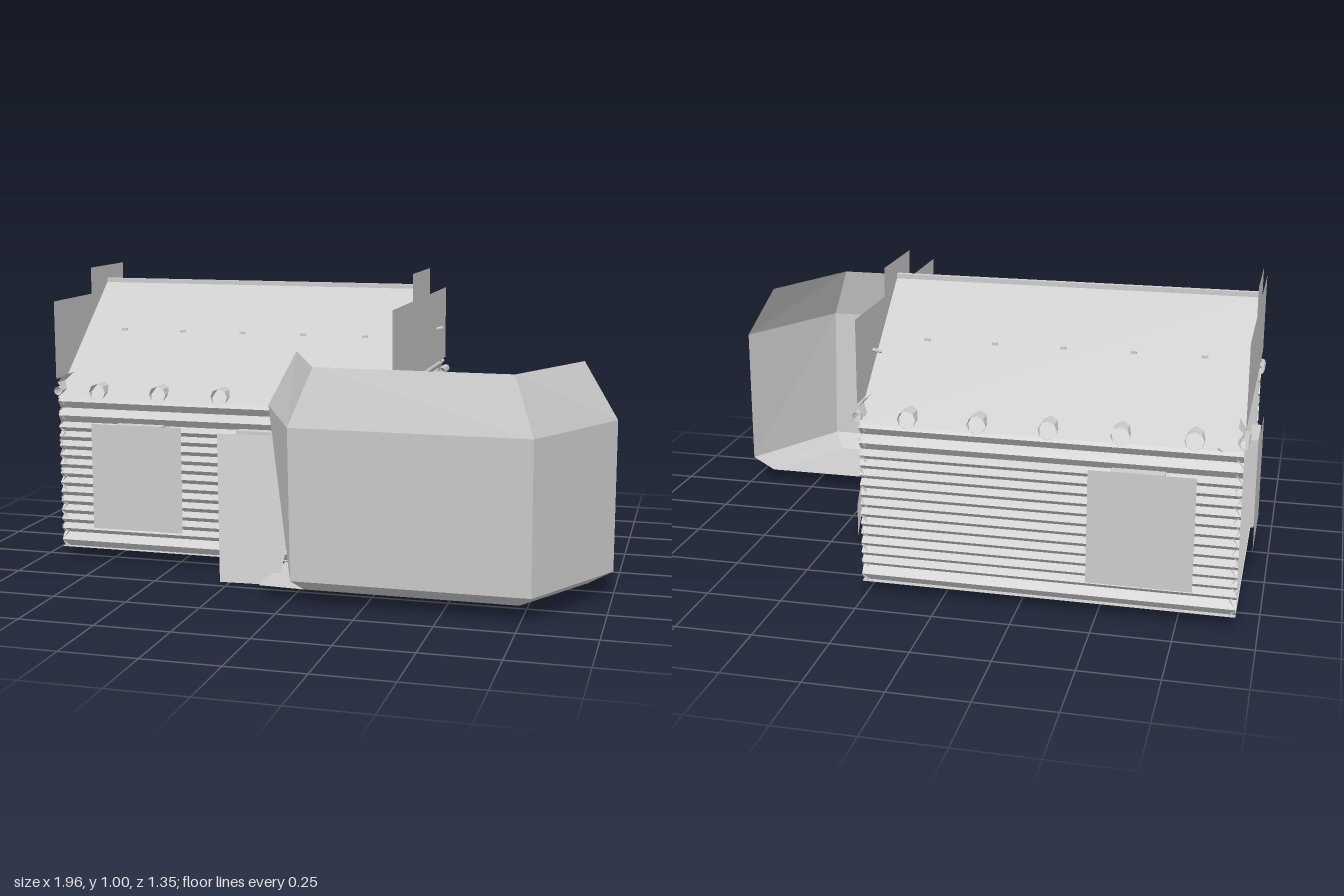
import * as THREE from 'three';

const mat = new THREE.MeshStandardMaterial({ color: 0xcccccc, flatShading: true, side: THREE.DoubleSide });

export function createModel() {
  const model = new THREE.Group();
  const add = (name, geo) => {
    const m = new THREE.Mesh(geo, mat);
    m.name = name;
    model.add(m);
    return m;
  };

  // Flat-faced surface stretched between rows of points
  const sheet = (name, rows) => {
    const pos = [];
    for (let i = 0; i < rows.length - 1; i++) {
      for (let j = 0; j < rows[i].length - 1; j++) {
        const [a, b, c, d] = [rows[i][j], rows[i][j + 1], rows[i + 1][j + 1], rows[i + 1][j]];
        pos.push(...a, ...b, ...c, ...a, ...c, ...d);
      }
    }
    const geo = new THREE.BufferGeometry();
    geo.setAttribute('position', new THREE.Float32BufferAttribute(pos, 3));
    geo.computeVertexNormals();
    return add(name, geo);
  };
  const box = (name, x0, x1, y0, y1, z0, z1) => {
    const m = add(name, new THREE.BoxGeometry(x1 - x0, y1 - y0, z1 - z0));
    m.position.set((x0 + x1) / 2, (y0 + y1) / 2, (z0 + z1) / 2);
    return m;
  };
  const stick = (name, a, b, r) => {
    const p = new THREE.Vector3(...a), q = new THREE.Vector3(...b);
    const m = add(name, new THREE.CylinderGeometry(r, r, p.distanceTo(q), 6));
    m.position.copy(p).add(q).multiplyScalar(0.5);
    m.quaternion.setFromUnitVectors(new THREE.Vector3(0, 1, 0), q.sub(p).normalize());
  };

  const X0 = -0.93, X1 = 0.265, Z0 = -0.625, Z1 = 0.295, ZM = -0.165;
  const FLOOR = 0.04, EAVE = 0.575, RIDGE = 0.95;

  // Log walls with a zigzag section; at(y, depth) gives the two ends of each edge
  const logWall = (name, courses, ends) => {
    const rows = [];
    let y = FLOOR;
    for (const [count, pitch] of courses) {
      for (let i = 0; i < count; i++, y += pitch) {
        rows.push(ends(y, 0.02), ends(y + pitch / 2, 0));
      }
    }
    rows.push(ends(y, 0.02));
    sheet(name, rows);
  };
  const longCourses = [[1, 0.05], [12, 0.033], [2, 0.05]];
  const sideCourses = [[12, 0.051]];
  logWall('frontLogWall', longCourses, (y, d) => [[X0, y, Z1 - d], [X1, y, Z1 - d]]);
  logWall('backLogWall', longCourses, (y, d) => [[X1, y, Z0 + d], [X0, y, Z0 + d]]);
  logWall('leftLogWall', sideCourses, (y, d) => [[X1 - d, y, Z1], [X1 - d, y, Z0]]);
  logWall('rightLogWall', sideCourses, (y, d) => [[X0 + d, y, Z0], [X0 + d, y, Z1]]);
  sheet('cabinFloor', [[[X0, FLOOR, Z0], [X1, FLOOR, Z0]], [[X0, FLOOR, Z1], [X1, FLOOR, Z1]]]);

  // Roof and ridge strip
  sheet('roof', [[Z1, EAVE], [ZM, RIDGE], [Z0, EAVE]].map(([z, y]) => [[X0, y, z], [X1, y, z]]));
  box('ridgeStrip', X0, X1, 0.94, 0.957, ZM - 0.01, ZM + 0.01);

  // Stepped gable boards
  const step = new THREE.Shape();
  [[Z0, 0.64], [Z1 + 0.005, 0.64], [Z1 + 0.005, 0.91], [-0.015, 0.91], [-0.015, 1.005],
    [-0.31, 1.005], [-0.31, 0.91], [Z0, 0.91]].forEach(([z, y], i) =>
    i ? step.lineTo(-z, y) : step.moveTo(-z, y));
  for (const x of [X0 - 0.002, X1 + 0.002]) {
    const board = add('gableBoard', new THREE.ShapeGeometry(step));
    board.rotation.y = Math.PI / 2;
    board.position.x = x;
  }

  // Beam ends breaking through the roof, and the small pegs above them
  const beam = (x, r, s) => {
    const m = add('beamEnd', new THREE.CylinderGeometry(r, r, 0.1, 8, 1, true));
    m.rotation.x = Math.PI / 2;
    m.position.set(x, 0.597, ZM + s * 0.41);
  };
  for (const s of [-1, 1]) {
    for (let i = 0; i < 5; i++) {
      const x = -0.783 + i * 0.223;
      beam(x, 0.03, s);
      const z = ZM + s * 0.2;
      box('roofPeg', x - 0.01, x + 0.01, 0.77, 0.793, z - 0.003, z + 0.003);
    }
    beam(X0, 0.015, s);
    beam(X1 + 0.005, 0.015, s);
  }

  // Window boxes with their shutters
  const [wy0, wy1, sy0] = [0.19, 0.49, 0.12];
  for (const [x0, x1] of [[-0.71, -0.54], [-0.27, -0.1], [-0.045, 0.13]]) {
    box('frontWindowBox', x0, x1, wy0, wy1, 0.27, 0.315);
  }
  box('backWindowBox', -0.7, -0.535, wy0, wy1, -0.645, -0.6);
  box('rightWindowBox', -0.955, -0.91, wy0, wy1, -0.25, -0.085);
  box('leftWindowBox', 0.24, 0.288, wy0, wy1, -0.25, -0.085);
  for (const [name, z] of [['frontShutter', 0.318], ['backShutter', -0.648]]) {
    sheet(name, [[[-0.797, sy0, z], [-0.467, sy0, z]], [[-0.797, wy1, z], [-0.467, wy1, z]]]);
  }
  sheet('rightShutter', [[[-0.958, sy0, -0.29], [-0.958, sy0, 0.04]], [[-0.958, wy1, -0.29], [-0.958, wy1, 0.04]]]);

  // Fallen shutters leaning outside
  sheet('leaningSideShutter', [
    [[0.315, 0.49, -0.25], [0.415, 0.49, 0.052]],
    [[0.39, 0.04, -0.283], [0.49, 0.04, 0.025]]]);
  sheet('leaningFrontShutter', [
    [[-0.315, 0.49, 0.38], [0.01, 0.49, 0.365]],
    [[-0.285, 0.0, 0.455], [-0.085, 0.0, 0.445]]]);

  // Open faceted bay: each row runs back left, front left, front right, back right
  const bay = [
    [0.765, -0.06, 0.095, 0.72, 0.89, 0.65],
    [0.58, -0.16, 0.025, 0.785, 1.0, 0.695],
    [0.085, -0.1, 0.025, 0.785, 1.0, 0.67],
    [0.04, -0.09, 0.05, 0.74, 0.92, 0.6],
  ].map(([y, a, b, c, d, z]) => [[a, y, 0.297], [b, y, z], [c, y, z], [d, y, 0.297]]);
  sheet('bayWall', bay);
  sheet('bayFloor', [
    [[-0.105, 0.04, 0.297], [0.05, 0.04, 0.297], [0.74, 0.04, 0.297], [0.92, 0.04, 0.297]],
    [[-0.105, 0.04, 0.59], [0.05, 0.04, 0.6], [0.74, 0.04, 0.6], [0.92, 0.04, 0.297]]]);

  // Loose sticks
  stick('looseStick', [0.265, 0.595, 0.185], [0.345, 0.612, 0.245], 0.005);
  stick('looseStick', [0.24, 0.762, -0.44], [0.288, 0.772, -0.458], 0.006);
  stick('looseStick', [0.24, 0.54, -0.425], [0.28, 0.535, -0.45], 0.005);
  stick('looseStick', [-0.855, 0.58, -0.62], [-0.866, 0.583, -0.65], 0.004);

  return model;
}
